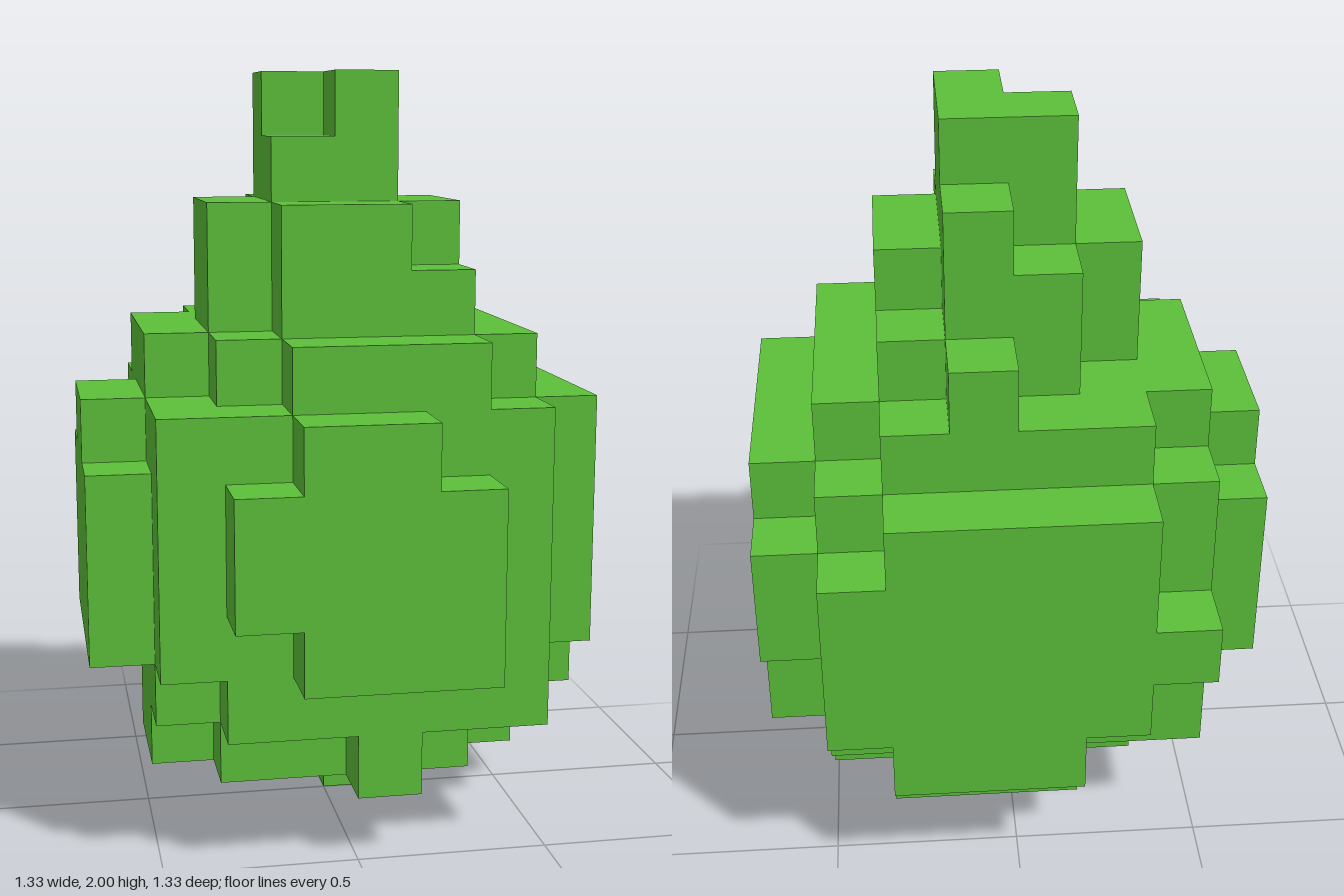
import * as THREE from 'three';
import { mergeGeometries } from 'three/addons/utils/BufferGeometryUtils.js';

const U = 1 / 6; // edge of one cube

// Each slab: from y to y, then rows of cubes [z from, z to, x from, x to]
const parts = {
  stub: [[0, 0, [[-1, -1, 0, 0]]]],
  base: [
    [1, 1, [[-3, -3, -1, 1], [-2, -2, -2, 2], [-1, 0, -3, 2], [1, 1, -2, 1], [2, 2, 0, 0]]],
    [2, 2, [[-3, 1, -3, 2], [2, 2, -2, 2]]],
  ],
  body: [[3, 6, [[-3, 2, -3, 2]]]],
  frontPanel: [
    [3, 3, [[3, 3, -1, 1]]], [4, 5, [[3, 3, -2, 1]]], [6, 6, [[3, 3, -1, 0]]],
  ],
  backPanel: [
    [2, 2, [[-4, -4, -1, 1]]], [3, 3, [[-4, -4, -2, 2]]], [4, 4, [[-4, -4, -3, 2]]],
    [5, 5, [[-4, -4, -2, 2]]], [6, 6, [[-4, -4, -2, 1]]],
  ],
  leftPanel: [
    [2, 2, [[-2, 0, 3, 3]]], [3, 3, [[-2, 1, 3, 3]]],
    [4, 5, [[-3, 1, 3, 3]]], [6, 6, [[-2, 1, 3, 3]]],
  ],
  rightPanel: [[3, 5, [[-2, 1, -4, -4]]], [6, 6, [[-1, 0, -4, -4]]]],
  shoulder: [
    [7, 7, [[-3, -3, -2, 1], [-2, 0, -3, 2], [1, 1, -2, 2], [2, 2, -1, 1]]],
    [8, 8, [[-3, -3, 0, 0], [-2, -2, -1, 1], [-1, 0, -2, 1], [1, 1, -1, 1]]],
    [9, 9, [[-2, -2, -1, 0], [-1, 0, -2, 1], [1, 1, -1, 0]]],
  ],
  tip: [
    [10, 10, [[-2, -2, 0, 0], [-1, 0, -1, 0]]],
    [11, 11, [[-1, -1, -1, 0], [0, 0, 0, 0]]],
  ],
};

const key = (x, y, z) => `${x},${y},${z}`;

function listCubes(slabs) {
  const cubes = [];
  for (const [y0, y1, rows] of slabs)
    for (let y = y0; y <= y1; y++)
      for (const [z0, z1, x0, x1] of rows)
        for (let z = z0; z <= z1; z++)
          for (let x = x0; x <= x1; x++) cubes.push([x, y, z]);
  return cubes;
}

// One outward cube face for each direction
const sides = [
  [1, 0, 0], [-1, 0, 0], [0, 1, 0], [0, -1, 0], [0, 0, 1], [0, 0, -1],
].map((dir) => {
  const normal = new THREE.Vector3(...dir);
  const turn = new THREE.Quaternion().setFromUnitVectors(new THREE.Vector3(0, 0, 1), normal);
  // opposite vectors need a fixed half turn about y
  if (dir[2] === -1) turn.setFromAxisAngle(new THREE.Vector3(0, 1, 0), Math.PI);
  const face = new THREE.PlaneGeometry(U, U).applyQuaternion(turn);
  face.translate(dir[0] * U / 2, dir[1] * U / 2, dir[2] * U / 2);
  return { dir, face };
});

export function createModel() {
  const group = new THREE.Group();
  group.name = 'cubeShrub';
  const leafGreen = new THREE.MeshStandardMaterial({ color: 0x5cc03a });
  leafGreen.name = 'leafGreen';

  const filled = new Set();
  for (const slabs of Object.values(parts))
    for (const c of listCubes(slabs)) filled.add(key(...c));

  // Keep only faces that touch open air
  for (const [name, slabs] of Object.entries(parts)) {
    const faces = [];
    for (const [x, y, z] of listCubes(slabs))
      for (const { dir, face } of sides)
        if (!filled.has(key(x + dir[0], y + dir[1], z + dir[2])))
          faces.push(face.clone().translate((x + 0.5) * U, (y + 0.5) * U, (z + 0.5) * U));
    const mesh = new THREE.Mesh(mergeGeometries(faces), leafGreen);
    mesh.name = name;
    group.add(mesh);
  }
  return group;
}
